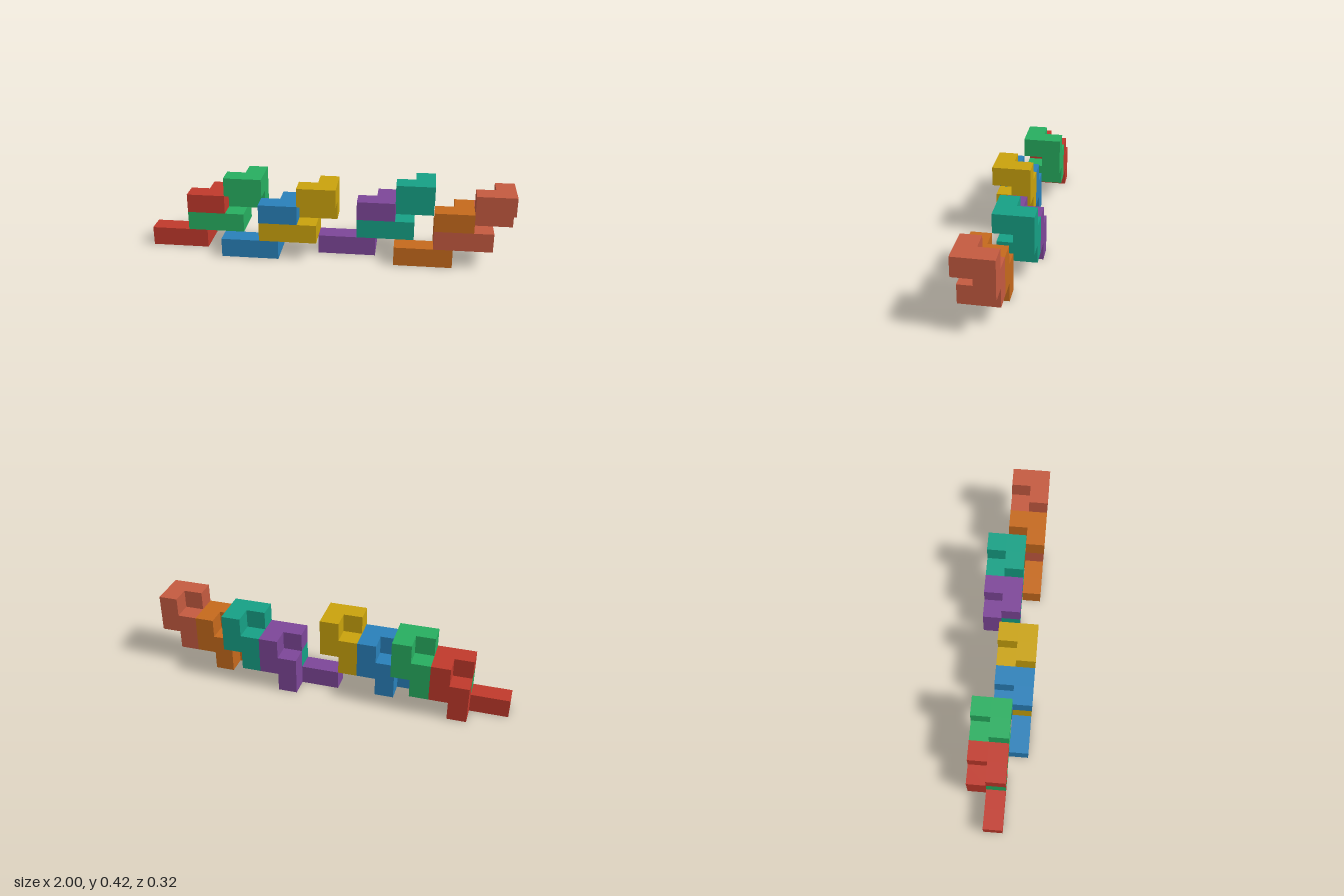
import * as THREE from 'three';
import { mergeGeometries } from 'three/addons/utils/BufferGeometryUtils.js';

const U = 2 / 19; // edge of one cube cell

// One twisted piece as a chain of unit cells
const CELLS = [
  [0, 0, 0], [1, 0, 0], [2, 0, 0],  // foot bar
  [2, 0, -1], [2, 1, -1],           // rear post
  [3, 1, -1], [3, 2, -1],           // stepped post
  [3, 2, 0], [2, 2, 0],             // hook over the next piece
];

// Outer skin of the chain: a square on every cell side that has no neighbour
function pieceGeometry() {
  const taken = new Set(CELLS.map(c => c.join()));
  const front = new THREE.Vector3(0, 0, 1);
  const faces = [];
  for (const cell of CELLS) {
    for (let axis = 0; axis < 3; axis++) {
      for (const sign of [-1, 1]) {
        const next = cell.slice();
        next[axis] += sign;
        if (taken.has(next.join())) continue;
        const normal = new THREE.Vector3().setComponent(axis, sign);
        const turn = axis === 2 && sign < 0
          ? new THREE.Quaternion(0, 1, 0, 0)
          : new THREE.Quaternion().setFromUnitVectors(front, normal);
        const centre = new THREE.Vector3(...cell).addScalar(0.5).addScaledVector(normal, 0.5);
        faces.push(new THREE.PlaneGeometry(1, 1).applyQuaternion(turn)
          .translate(centre.x, centre.y, centre.z));
      }
    }
  }
  return mergeGeometries(faces).scale(U, U, U);
}

export function createModel() {
  const model = new THREE.Group();
  model.name = 'interlockingChain';
  const geometry = pieceGeometry();

  // name, colour, cell offset
  const pieces = [
    ['redPiece', 0xc0392b, [0, 0, 0]],
    ['greenPiece', 0x27ae60, [2, 1, 0]],
    ['bluePiece', 0x2980b9, [4, 0, 1]],
    ['yellowPiece', 0xc9a20c, [6, 1, 1]],
    ['purplePiece', 0x7d4698, [9, 0, 0]],
    ['tealPiece', 0x16a085, [11, 1, 0]],
    ['orangePiece', 0xc5691c, [13, 0, 1]],
    ['coralPiece', 0xc45a40, [15, 1, 1]],
  ];
  for (const [name, color, [x, y, z]] of pieces) {
    const mesh = new THREE.Mesh(geometry, new THREE.MeshStandardMaterial({ color }));
    mesh.name = name;
    mesh.position.set((x - 9.5) * U, y * U, (z - 0.5) * U);
    model.add(mesh);
  }
  return model;
}
